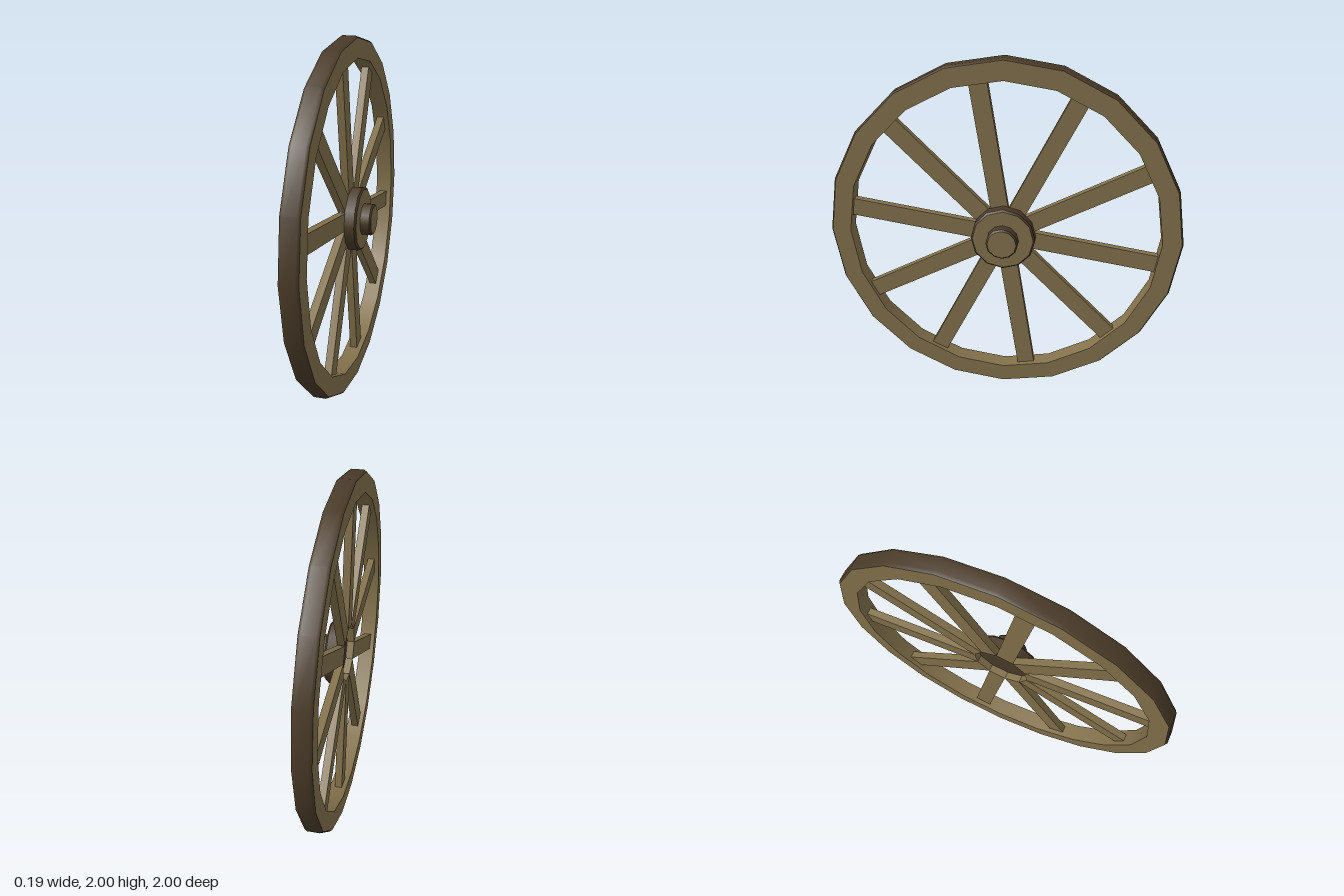
import * as THREE from 'three';

const wood = new THREE.MeshStandardMaterial({ color: 0x84724c });
wood.name = 'wood';
const darkWood = new THREE.MeshStandardMaterial({ color: 0x4a3b28 });
darkWood.name = 'dark edge';

// Wheel lies in the yz plane; its axle runs along x at this height
const AXLE_Y = 1;

// Surface turned about the axle from [radius, x] points; rising x faces outward
function turned(name, points, sides, material) {
  const geometry = new THREE.LatheGeometry(points.map(([r, x]) => new THREE.Vector2(r, x)), sides);
  geometry.rotateZ(-Math.PI / 2);
  const mesh = new THREE.Mesh(geometry, material);
  mesh.name = name;
  return mesh;
}

// Short drum: dark chamfered side and back, light front face
function drum(name, radius, back, front, bevel) {
  const group = new THREE.Group();
  group.name = name;
  const sides = 12;
  group.add(
    turned(name + 'Back', [[0, back], [radius, back]], sides, darkWood),
    turned(name + 'Side', [[radius, back], [radius, front - bevel]], sides, darkWood),
    turned(name + 'Bevel', [[radius, front - bevel], [radius - bevel, front]], sides, darkWood),
    turned(name + 'Face', [[radius - bevel, front], [0, front]], sides, wood),
  );
  return group;
}

export function createModel() {
  const wheel = new THREE.Group();
  wheel.name = 'wheel';
  wheel.position.y = AXLE_Y;

  // Rim: light faces and inner wall, dark tread with small chamfers
  const rim = new THREE.Group();
  rim.name = 'rim';
  const inner = 0.885, edge = 0.99, back = -0.098, front = 0;
  rim.add(
    turned('rimFrontFace', [[edge, front], [inner, front]], 20, wood),
    turned('rimInnerWall', [[inner, front], [inner, back]], 20, wood),
    turned('rimBackFace', [[inner, back], [edge, back]], 20, wood),
    turned('rimTread', [[edge, back], [1, back + 0.015], [1, front - 0.015], [edge, front]], 20, darkWood),
  );
  wheel.add(rim);

  // Ten spokes, meeting corner to corner around the open back of the hub
  const start = 0.155, end = 0.89;
  const spokeGeometry = new THREE.BoxGeometry(0.042, end - start, 0.1);
  spokeGeometry.translate(-0.05, (start + end) / 2, 0);
  for (let i = 0; i < 10; i++) {
    const spoke = new THREE.Mesh(spokeGeometry, wood);
    spoke.name = 'spoke';
    spoke.rotation.x = THREE.MathUtils.degToRad(9 + 36 * i);
    wheel.add(spoke);
  }

  // Hub plate and axle cap
  wheel.add(drum('hubPlate', 0.182, -0.03, 0.036, 0.01));
  wheel.add(drum('axleCap', 0.09, 0.03, 0.096, 0.009));

  const model = new THREE.Group();
  model.name = 'wagonWheel';
  model.add(wheel);
  return model;
}
